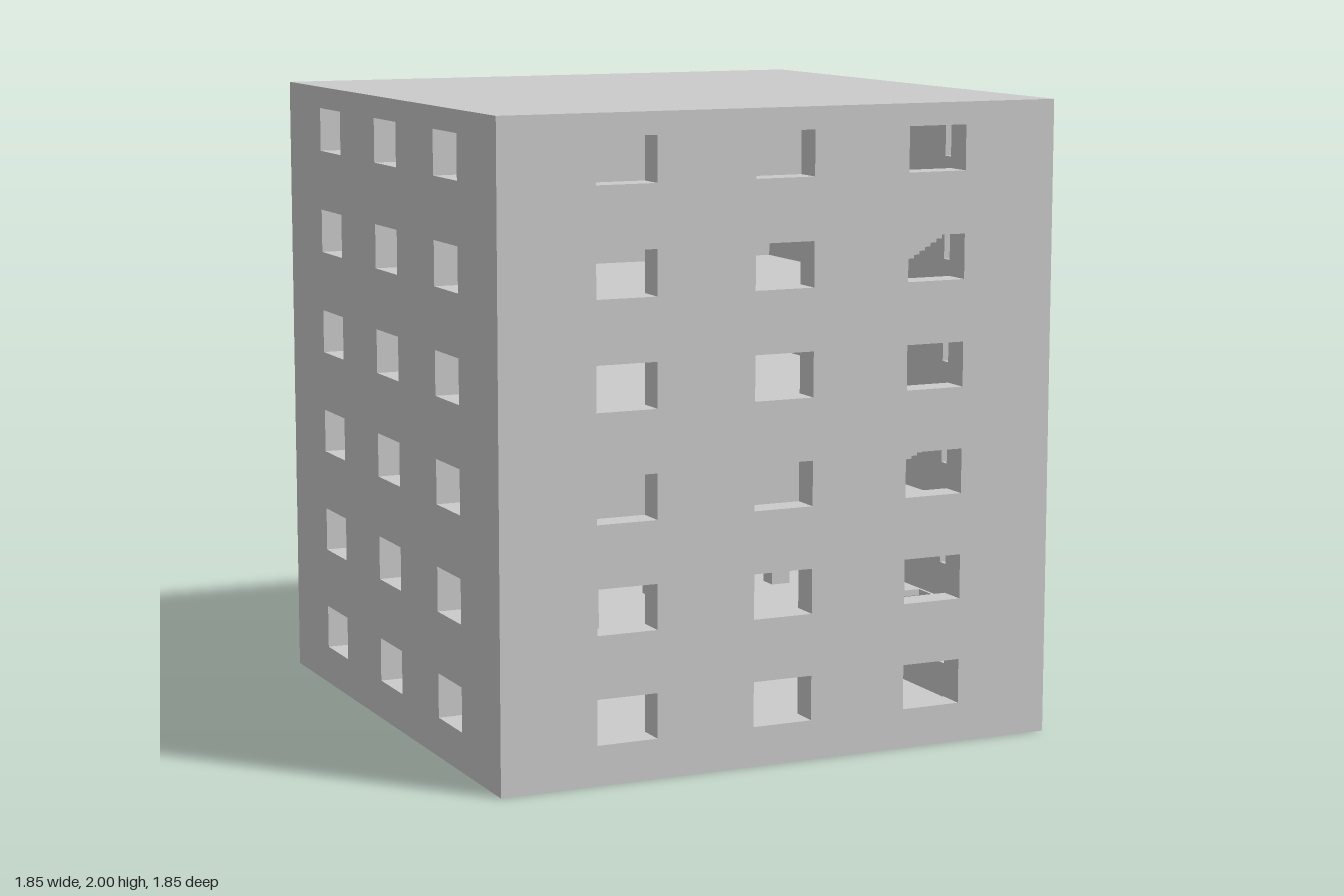
import * as THREE from 'three';

const HALF = 0.925, T = 0.09, INNER = HALF - T, STOREY = 1 / 3, FLOORS = 6, ROOF = 0.02;
const material = new THREE.MeshStandardMaterial({ color: 0xcccccc, flatShading: true });

function add(parent, name, geometry, x = 0, y = 0, z = 0) {
  const mesh = new THREE.Mesh(geometry, material);
  mesh.name = name;
  mesh.position.set(x, y, z);
  parent.add(mesh);
  return mesh;
}

const box = (parent, name, w, h, d, x, y, z) =>
  add(parent, name, new THREE.BoxGeometry(w, h, d), x, y, z);

function rectPath(x0, y0, x1, y1) {
  return new THREE.Path([
    new THREE.Vector2(x0, y0), new THREE.Vector2(x0, y1),
    new THREE.Vector2(x1, y1), new THREE.Vector2(x1, y0),
  ]);
}

// Wall panel with a grid of windows and, if asked, a doorway in the middle
function wallGeometry(half, door) {
  const s = new THREE.Shape();
  s.moveTo(-half, 0);
  if (door) s.lineTo(-0.08, 0).lineTo(-0.08, 0.2).lineTo(0.08, 0.2).lineTo(0.08, 0);
  s.lineTo(half, 0).lineTo(half, 2 - ROOF).lineTo(-half, 2 - ROOF).closePath();
  for (let f = 0; f < FLOORS; f++) {
    for (const x of [-0.517, 0, 0.517]) {
      if (door && f === 0 && x === 0) continue;
      const y = f * STOREY + 0.124;
      s.holes.push(rectPath(x - 0.098, y, x + 0.098, y + 0.14));
    }
  }
  return new THREE.ExtrudeGeometry(s, { depth: T, bevelEnabled: false });
}

// Storey slab with a stairwell opening; side is +1 or -1
function slabGeometry(side) {
  const s = new THREE.Shape([
    new THREE.Vector2(-INNER, -INNER), new THREE.Vector2(INNER, -INNER),
    new THREE.Vector2(INNER, INNER), new THREE.Vector2(-INNER, INNER),
  ]);
  const xs = [side * 0.645, side * 0.825].sort((a, b) => a - b);
  const ys = [-side * 0.3, -side * 0.72].sort((a, b) => a - b);
  s.holes.push(rectPath(xs[0], ys[0], xs[1], ys[1]));
  const g = new THREE.ExtrudeGeometry(s, { depth: 0.02, bevelEnabled: false });
  return g.rotateX(-Math.PI / 2);
}

export function createModel() {
  const model = new THREE.Group();
  model.name = 'apartmentBlock';

  // Outer walls
  add(model, 'frontWall', wallGeometry(HALF, false), 0, 0, INNER);
  add(model, 'backWall', wallGeometry(HALF, true), 0, 0, -HALF);
  for (const side of [-1, 1]) {
    const wall = add(model, side > 0 ? 'leftWall' : 'rightWall', wallGeometry(INNER, false));
    wall.rotation.y = side * Math.PI / 2;
    wall.position.x = side * INNER;
  }

  // Roof and ground floor
  box(model, 'roof', 2 * HALF, ROOF, 2 * HALF, 0, 2 - ROOF / 2, 0);
  box(model, 'groundFloor', 2 * INNER, 0.01, 2 * INNER, 0, 0.005, 0);

  // Storey slabs and stair flights on alternating sides
  for (let f = 0; f < FLOORS - 1; f++) {
    const side = f % 2 ? -1 : 1;
    const base = f * STOREY;
    add(model, 'storeySlab', slabGeometry(side), 0, base + STOREY - 0.01, 0);

    const stairs = new THREE.Group();
    stairs.name = 'stairFlight';
    model.add(stairs);
    const start = side > 0 ? 0 : 0.07;
    for (let i = 0; i < 19; i++) {
      box(stairs, 'step', 0.17, 0.024, 0.065,
        side * 0.735, base + 0.02 + i * 0.0167, side * (start + i * 0.036));
    }
  }

  // Ground floor pillar
  box(model, 'entrancePillar', 0.065, STOREY, 0.065, 0, STOREY / 2, 0.026);

  // Grid of pillars on the second storey
  for (const x of [-0.447, 0, 0.447]) {
    for (const z of [-0.447, 0, 0.447]) {
      box(model, 'pillar', 0.065, STOREY, 0.065, x, 1.5 * STOREY, z);
    }
  }

  // Enclosed core rooms with a corner pillar on the third and top storeys
  for (const f of [2, 5]) {
    const y = (f + 0.5) * STOREY;
    box(model, 'coreRoom', 0.885, STOREY - 0.02, 0.885, 0, y, 0);
    box(model, 'cornerPillar', 0.065, STOREY - 0.02, 0.065, 0.447, y, -0.447);
  }
  return model;
}
